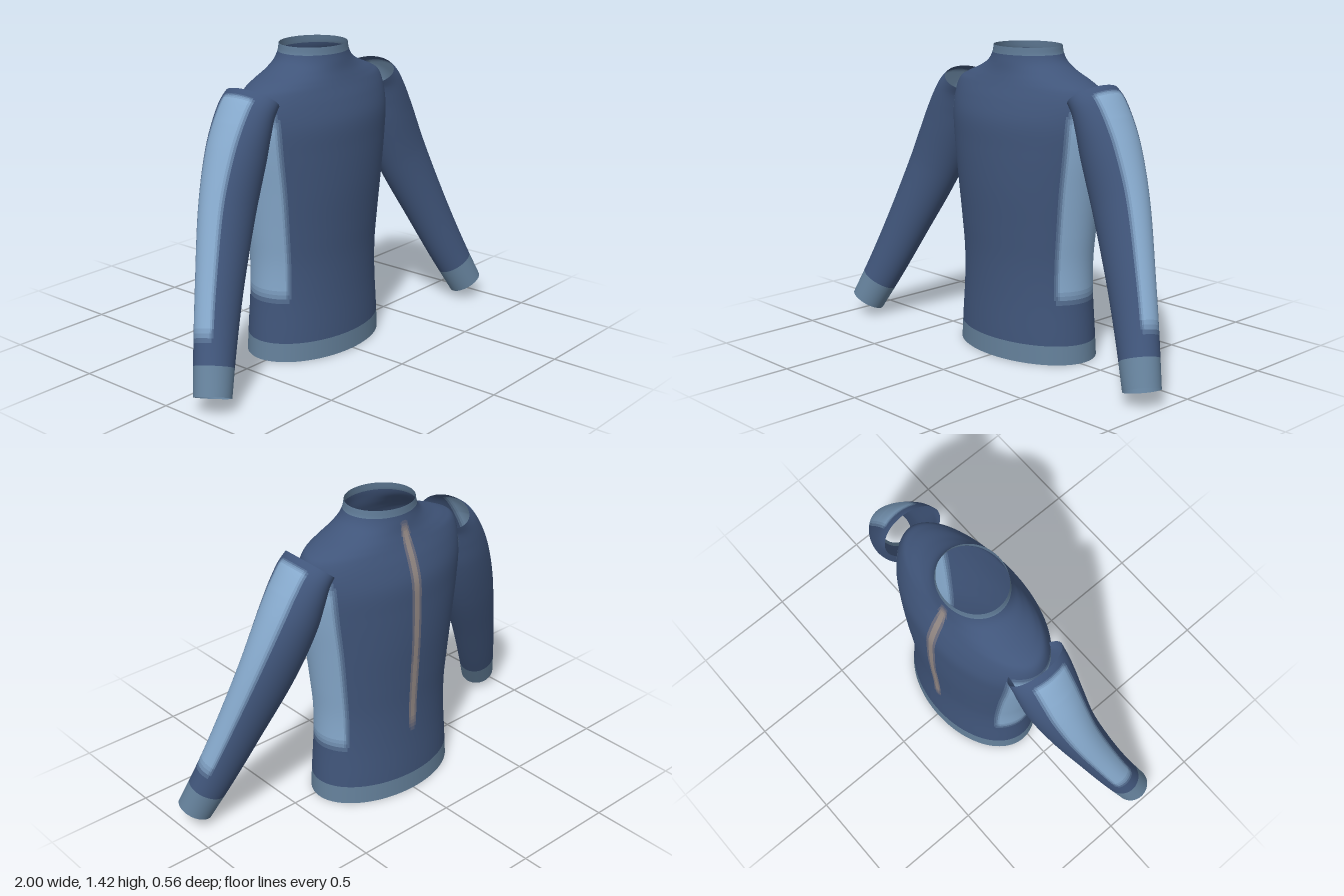
import * as THREE from 'three';

const BASE = new THREE.Color(0x40557a);
const PANEL = new THREE.Color(0x86a9cc);
const TRIM = new THREE.Color(0x64809a);
const SPINE = new THREE.Color(0x958a86);
const LEVELS = 5; // colour steps used for soft panel edges

const V = (x, y, z) => new THREE.Vector3(x, y, z);
const fade = (x, from, to) => THREE.MathUtils.smoothstep(x, from, to);

// Tube-like skin: point(angle, t) gives positions, paint(angle, t, p) gives [part, tint, amount].
function skin(name, around, along, point, paint, flip) {
  const pos = [], all = [], parts = new Map();
  for (let j = 0; j <= along; j++)
    for (let i = 0; i < around; i++)
      pos.push(...point((i / around) * Math.PI * 2, j / along).toArray());

  for (let j = 0; j < along; j++) {
    for (let i = 0; i < around; i++) {
      const k = (i + 1) % around;
      const a = j * around + i, b = j * around + k;
      const c = a + around, d = b + around;
      const quad = flip ? [a, c, b, b, c, d] : [a, b, c, b, d, c];
      all.push(...quad);
      const angle = ((i + 0.5) / around) * Math.PI * 2, t = (j + 0.5) / along;
      const [part, tint, amount] = paint(angle, t, point(angle, t));
      const level = Math.round(amount * LEVELS);
      const key = level === 0 ? 'Cloth' : part + (level === LEVELS ? '' : 'Edge' + level);
      if (!parts.has(key))
        parts.set(key, { color: BASE.clone().lerp(tint, level / LEVELS), index: [] });
      parts.get(key).index.push(...quad);
    }
  }

  // Normals come from the whole skin, so the coloured areas join smoothly.
  const whole = new THREE.BufferGeometry();
  whole.setAttribute('position', new THREE.Float32BufferAttribute(pos, 3));
  whole.setIndex(all);
  whole.computeVertexNormals();

  const group = new THREE.Group();
  group.name = name;
  for (const [key, { color, index }] of parts) {
    const geo = new THREE.BufferGeometry();
    geo.setAttribute('position', whole.attributes.position);
    geo.setAttribute('normal', whole.attributes.normal);
    geo.setIndex(index);
    const mesh = new THREE.Mesh(geo,
      new THREE.MeshStandardMaterial({ color, side: THREE.DoubleSide }));
    mesh.name = name + key;
    group.add(mesh);
  }
  return group;
}

// Torso: stacked ellipses, each given as half width, height, half depth.
function torso() {
  const profile = new THREE.CatmullRomCurve3([
    V(0.38, 0, 0.243), V(0.372, 0.12, 0.239), V(0.36, 0.3, 0.231), V(0.36, 0.45, 0.23),
    V(0.375, 0.6, 0.237), V(0.4, 0.8, 0.247), V(0.425, 0.97, 0.247), V(0.438, 1.1, 0.241),
    V(0.435, 1.19, 0.215), V(0.412, 1.25, 0.19), V(0.36, 1.28, 0.178), V(0.265, 1.318, 0.165),
    V(0.2, 1.355, 0.157), V(0.175, 1.39, 0.15), V(0.166, 1.425, 0.147),
  ]);
  const point = (angle, t) => {
    const s = profile.getPoint(t);
    return V(s.x * Math.cos(angle), s.y, -0.034 + s.z * Math.sin(angle));
  };
  const paint = (angle, t, p) => {
    if (p.y < 0.09) return ['Hem', TRIM, 1];
    if (p.y > 1.39) return ['Collar', TRIM, 0.8];
    // Stripe down the middle of the back
    if (p.z < -0.1 && Math.abs(p.x) < 0.04) {
      const w = 1 - fade(Math.abs(p.x), 0.008, 0.03);
      return ['SpineStripe', SPINE, w * fade(p.y, 0.3, 0.42) * (1 - fade(p.y, 1.3, 1.38))];
    }
    // Panel along each flank
    const off = Math.asin(Math.min(1, Math.abs(Math.sin(angle))));
    const w = 1 - fade(off, 0.45, 0.62);
    return ['SidePanel', PANEL, w * fade(p.y, 0.25, 0.36) * (1 - fade(p.y, 1.1, 1.2))];
  };
  return skin('torso', 192, 112, point, paint, true);
}

// Sleeve: elliptical rings set square to a bent centre line.
function sleeve(name, side) {
  const path = new THREE.CatmullRomCurve3([
    V(0.402, 1.23, -0.035), V(0.44, 1.185, -0.034), V(0.478, 1.108, -0.031),
    V(0.52, 1.005, -0.024), V(0.61, 0.79, 0.006), V(0.74, 0.488, 0.078),
    V(0.835, 0.265, 0.14), V(0.92, 0.07, 0.203),
  ]);
  const radii = new THREE.CatmullRomCurve3([
    V(0.084, 0.145, 0), V(0.1, 0.144, 0.1), V(0.118, 0.142, 0.2), V(0.134, 0.136, 0.3),
    V(0.138, 0.115, 0.5), V(0.116, 0.095, 0.7), V(0.1, 0.086, 0.85), V(0.085, 0.081, 1),
  ]);
  const point = (angle, t) => {
    const dir = path.getTangent(t), r = radii.getPoint(t);
    const out = V(0, 0, 1).cross(dir).normalize();
    const fore = dir.clone().cross(out);
    const p = path.getPoint(t)
      .addScaledVector(out, r.x * Math.cos(angle))
      .addScaledVector(fore, r.y * Math.sin(angle));
    p.x *= side;
    return p;
  };
  const paint = (angle, t) => {
    if (t > 0.915) return ['Cuff', TRIM, 1];
    // Light strip along the outside of the arm
    const off = Math.min(angle, Math.PI * 2 - angle);
    const w = 1 - fade(off, 0.5, 0.75);
    return ['OuterStrip', PANEL, w * fade(t, 0.07, 0.13) * (1 - fade(t, 0.81, 0.87))];
  };
  return skin(name, 72, 84, point, paint, side < 0);
}

export function createModel() {
  const model = new THREE.Group();
  model.name = 'pullover';
  model.add(torso(), sleeve('leftSleeve', 1), sleeve('rightSleeve', -1));
  return model;
}
